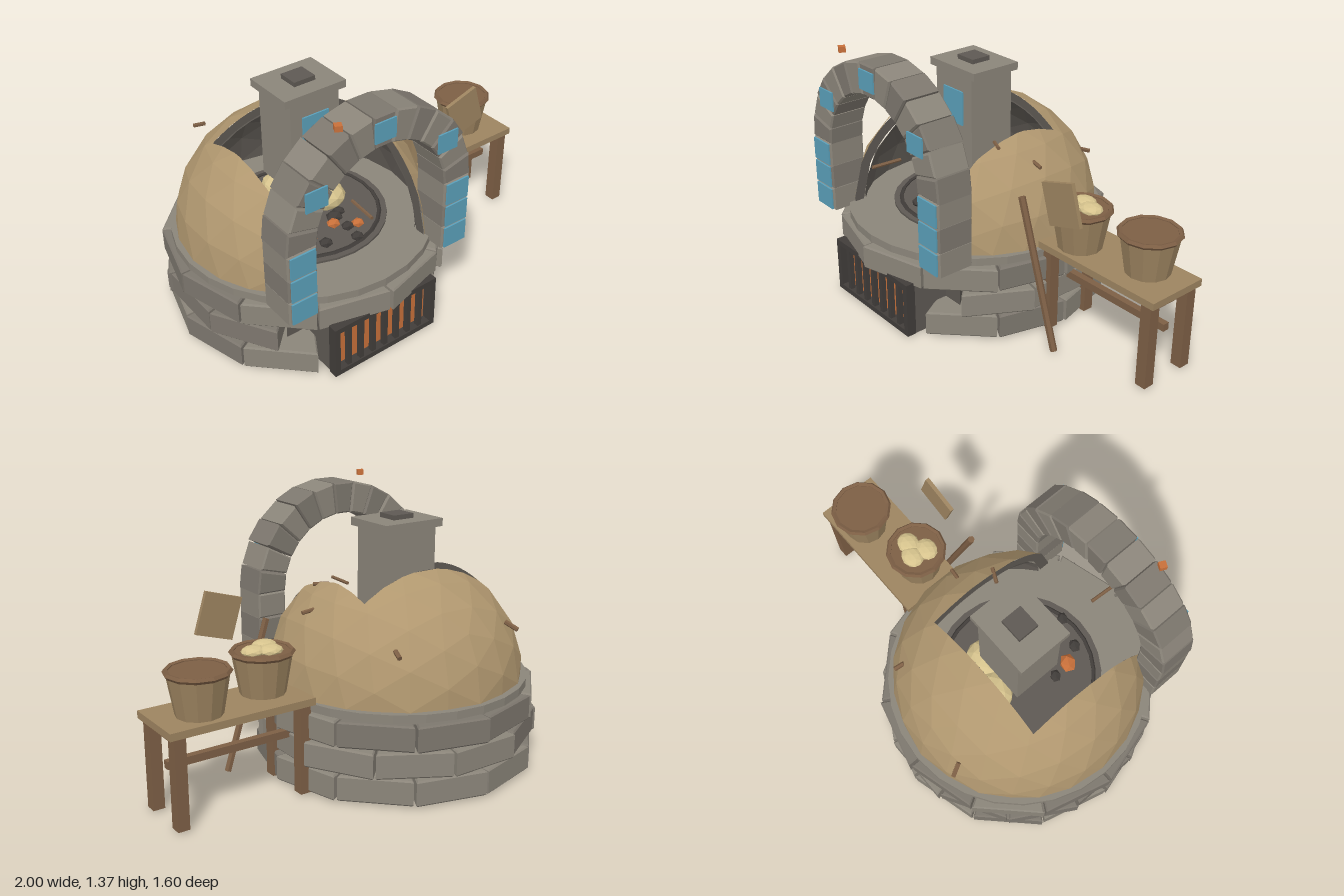
import * as THREE from 'three';

const mat = (name, color, side = THREE.FrontSide) => {
  const m = new THREE.MeshStandardMaterial({ color, side });
  m.name = name;
  return m;
};

export function createModel() {
  const root = new THREE.Group();
  const oven = new THREE.Group(); // everything built square to the oven mouth
  root.name = 'outdoorOven';
  oven.name = 'ovenAndTable';
  oven.position.set(-0.29, 0, -0.02);
  oven.rotation.y = 0.45;
  root.add(oven);

  const M = {
    stone: mat('stone', 0x8b857a, THREE.DoubleSide),
    stoneDark: mat('darker stone', 0x7d776e),
    soot: mat('soot', 0x5e5953, THREE.DoubleSide),
    iron: mat('iron', 0x413d3a),
    clay: mat('clay', 0xb0976f),
    wood: mat('wood', 0x7d5f45),
    plank: mat('pale wood', 0x9d8460),
    ember: mat('ember', 0xc8703a),
    blue: mat('blue', 0x5a9fb9),
    dough: mat('dough', 0xd6c38d),
  };

  let seed = 7;
  const rnd = () => ((seed = (seed * 16807) % 2147483647) / 2147483647);

  // Faceted mesh with a name and place
  function add(name, geo, material, x = 0, y = 0, z = 0, parent = oven) {
    const g = geo.index ? geo.toNonIndexed() : geo;
    g.computeVertexNormals();
    const m = new THREE.Mesh(g, material);
    m.name = name;
    m.position.set(x, y, z);
    parent.add(m);
    return m;
  }
  const box = (name, w, h, d, material, x, y, z, parent) =>
    add(name, new THREE.BoxGeometry(w, h, d), material, x, y, z, parent);

  // Wedge-shaped stone with bevelled edges, centred on z = 0
  function wedge(r0, r1, a0, a1, depth, b = 0.008) {
    const s = new THREE.Shape([[r0, a0], [r1, a0], [r1, a1], [r0, a1]].map(
      ([r, a]) => new THREE.Vector2(r * Math.cos(a), r * Math.sin(a))));
    return new THREE.ExtrudeGeometry(s, {
      depth: depth - 2 * b, bevelEnabled: true, bevelSegments: 1,
      bevelSize: b, bevelThickness: b, bevelOffset: -b,
    }).translate(0, 0, b - depth / 2);
  }

  // Base: three staggered courses, with a gap for the firebox
  const step = Math.PI / 6;
  for (let row = 0; row < 3; row++) {
    for (let i = 0; i < 12; i++) {
      const a = -Math.PI / 2 + (i + (row === 1 ? 0 : 0.5)) * step;
      const fromFront = Math.abs(Math.atan2(Math.cos(a), -Math.sin(a)));
      if (row < 2 && fromFront < step * 1.1) continue;
      const geo = wedge(0.5, 0.705 + rnd() * 0.02, a - step / 2 + 0.008, a + step / 2 - 0.008, 0.128)
        .rotateX(-Math.PI / 2);
      add('baseBlock', geo, rnd() > 0.4 ? M.stone : M.stoneDark, 0, 0.078 + row * 0.134, 0);
    }
  }
  add('innerDrum', new THREE.CylinderGeometry(0.51, 0.51, 0.39, 16, 1, true), M.stone, 0, 0.215, 0);
  add('baseSlab', new THREE.CylinderGeometry(0.67, 0.67, 0.045, 28), M.stone, 0, 0.428, 0);
  add('hearthFloor', new THREE.CylinderGeometry(0.43, 0.43, 0.012, 28), M.soot, 0, 0.456, 0);
  add('hearthRing', new THREE.TorusGeometry(0.39, 0.012, 5, 28).rotateX(Math.PI / 2), M.iron, 0, 0.461, 0);

  // Dome shells, with everything over the hearth cut away
  const CUT_X = 0.36, CUT_Z = -0.225, DOME_Y = 0.45;
  function clip(poly, axis, limit, sign) {
    const out = [];
    poly.forEach((p, i) => {
      const q = poly[(i + 1) % poly.length];
      const dp = (p[axis] - limit) * sign, dq = (q[axis] - limit) * sign;
      if (dp >= 0) out.push(p);
      if (dp * dq < 0) out.push(p.clone().lerp(q, dp / (dp - dq)));
    });
    return out;
  }
  function domeShell(r, h) {
    const p = new THREE.IcosahedronGeometry(1, 3).scale(r, h, r).getAttribute('position');
    const pts = [];
    for (let i = 0; i < p.count; i += 3) {
      const tri = clip([0, 1, 2].map(k => new THREE.Vector3().fromBufferAttribute(p, i + k)), 'y', 0, 1);
      const rest = clip(tri, 'z', CUT_Z, 1);
      for (const f of [clip(tri, 'z', CUT_Z, -1), clip(rest, 'x', CUT_X, 1), clip(rest, 'x', -CUT_X, -1)]) {
        for (let k = 1; k + 1 < f.length; k++) pts.push(f[0], f[k], f[k + 1]);
      }
    }
    return new THREE.BufferGeometry().setFromPoints(pts);
  }
  add('dome', domeShell(0.645, 0.6), M.clay, 0, DOME_Y, 0);
  add('domeLining', domeShell(0.59, 0.55), M.soot, 0, DOME_Y, 0);

  // Cut edges joining the two shells
  function rim(place, from, to, offset) {
    const pts = [], n = 14;
    const height = (u, r, h) => h * Math.sqrt(Math.max(0, 1 - (u * u + offset * offset) / (r * r)));
    const at = i => {
      const u = from + (to - from) * i / n;
      return [place(u, height(u, 0.59, 0.55)), place(u, height(u, 0.637, 0.592))];
    };
    for (let i = 0; i < n; i++) {
      const [a, b] = at(i), [c, d] = at(i + 1);
      pts.push(a, c, b, b, c, d);
    }
    add('domeCutEdge', new THREE.BufferGeometry().setFromPoints(pts), M.soot, 0, DOME_Y, 0);
  }
  rim((u, y) => new THREE.Vector3(u, y, CUT_Z), -CUT_X, CUT_X, CUT_Z);
  for (const s of [-1, 1]) rim((u, y) => new THREE.Vector3(s * CUT_X, y, u), CUT_Z, 0.525, CUT_X);

  // Arch: three blocks per leg and thirteen voussoirs, with blue plates
  const ARCH_Z = 0.546, SPRING = 0.81, N = 13;
  const plate = (w, h, x, y, z) => box('bluePlate', w, h, 0.009, M.blue, x, y, z);
  for (const s of [-1, 1]) {
    for (let i = 0; i < 3; i++) {
      const y = 0.494 + i * 0.128;
      const leg = new THREE.Shape([[-0.077, -0.061], [0.077, -0.061], [0.077, 0.061], [-0.077, 0.061]]
        .map(q => new THREE.Vector2(...q)));
      const geo = new THREE.ExtrudeGeometry(leg, {
        depth: 0.184, bevelSegments: 1, bevelSize: 0.008, bevelThickness: 0.008, bevelOffset: -0.006,
      }).translate(0, 0, -0.092);
      add('archLegBlock', geo, i === 1 ? M.stoneDark : M.stone, s * 0.45, y, ARCH_Z);
      plate(0.135, 0.115, s * 0.45, y, ARCH_Z + 0.104);
    }
    plate(0.115, 0.1, s * 0.37, SPRING + 0.25, ARCH_Z + 0.104);
  }
  plate(0.115, 0.1, 0, SPRING + 0.45, ARCH_Z + 0.104);
  for (let i = 0; i < N; i++) {
    const a = i * Math.PI / N;
    add('archStone', wedge(0.37, 0.525 + rnd() * 0.012, a + 0.006, a + Math.PI / N - 0.006, 0.2),
      i % 2 ? M.stone : M.stoneDark, 0, SPRING, ARCH_Z);
  }

  // Chimney
  box('chimney', 0.28, 0.5, 0.26, M.stone, 0, 0.94, 0);
  box('chimneyCap', 0.35, 0.04, 0.285, M.stone, 0, 1.205, 0);
  box('chimneyFlue', 0.12, 0.025, 0.11, M.soot, 0, 1.236, 0);
  plate(0.15, 0.18, 0, 1.01, 0.134);

  // Firebox with a barred gate
  box('firebox', 0.6, 0.29, 0.34, M.soot, 0, 0.147, 0.46);
  add('fireboxSurround', wedge(0.5, 0.6, -Math.PI / 2 - 0.76, -Math.PI / 2 + 0.76, 0.27).rotateX(-Math.PI / 2),
    M.soot, 0, 0.145, 0);
  box('emberGlow', 0.55, 0.24, 0.008, M.ember, 0, 0.155, 0.634);
  for (const y of [0.022, 0.288]) box('gateRail', 0.62, 0.028, 0.05, M.iron, 0, y, 0.66);
  for (const x of [-0.295, 0.295]) box('gatePost', 0.03, 0.28, 0.05, M.iron, x, 0.155, 0.66);
  for (let i = 0; i < 7; i++) box('gateBar', 0.024, 0.26, 0.026, M.iron, (i - 3) * 0.073, 0.155, 0.665);

  // Work table
  const table = new THREE.Group();
  table.name = 'table';
  table.position.set(1.0, 0, -0.05);
  oven.add(table);
  box('tableTop', 0.74, 0.036, 0.33, M.plank, 0, 0.468, 0, table);
  for (const s of [-1, 1]) {
    for (const t of [-1, 1]) box('tableLeg', 0.058, 0.44, 0.058, M.wood, s * 0.32, 0.23, t * 0.125, table);
    box('tableCleat', 0.05, 0.03, 0.28, M.wood, s * 0.32, 0.437, 0, table);
  }
  box('tableStretcher', 0.64, 0.038, 0.035, M.wood, 0, 0.27, 0, table);

  // Buckets
  const lump = (name, r, material, x, y, z, sy = 0.7, parent = oven) =>
    add(name, new THREE.IcosahedronGeometry(r, r > 0.05 ? 1 : 0).scale(1.15, sy, 1), material, x, y, z, parent);
  for (const [x, z] of [[0.79, -0.01], [1.16, -0.08]]) {
    add('bucket', new THREE.CylinderGeometry(0.145, 0.11, 0.2, 12), M.plank, x, 0.587, z);
    add('bucketFilling', new THREE.CylinderGeometry(0.132, 0.132, 0.008, 12), M.wood, x, 0.688, z);
    add('bucketRim', new THREE.TorusGeometry(0.143, 0.014, 5, 12).rotateX(Math.PI / 2), M.wood, x, 0.688, z);
  }
  for (const [x, z] of [[0.755, 0.03], [0.84, -0.02], [0.77, -0.05]])
    lump('doughBall', 0.055, M.dough, x, 0.7, z, 0.5);

  // Loaves, embers and coals on the hearth
  for (const [x, z, r] of [[-0.37, -0.17, 0.1], [-0.2, -0.17, 0.1], [-0.18, -0.03, 0.1]])
    lump('loaf', r, M.dough, x, 0.53, z, 0.72, root);
  for (const [x, z, r] of [[-0.31, 0.24, 0.045], [-0.165, 0.155, 0.032], [-0.045, 0.175, 0.03], [-0.25, 0.1, 0.028]])
    lump('ember', r, M.ember, x, 0.485, z, 0.8, root);
  for (const [x, z, r] of [[-0.23, 0.3, 0.032], [-0.07, 0.28, 0.03], [-0.15, 0.1, 0.04], [-0.12, 0.06, 0.03],
    [-0.1, 0.19, 0.03], [-0.36, 0.16, 0.03]])
    lump('coal', r, M.iron, x, 0.485, z, 0.8, root);

  // Round rods between two points
  function rod(name, a, b, r) {
    const p = new THREE.Vector3(...a), d = new THREE.Vector3(...b).sub(p);
    const m = add(name, new THREE.CylinderGeometry(r, r, d.length(), 6), M.wood, 0, 0, 0, root);
    m.position.copy(p).addScaledVector(d, 0.5);
    m.quaternion.setFromUnitVectors(new THREE.Vector3(0, 1, 0), d.normalize());
  }
  rod('peelHandle', [0.37, 0.76, -0.09], [0.585, 0.015, -0.2], 0.018);
  const blade = box('peelBlade', 0.2, 0.21, 0.02, M.plank, 0.605, 0.82, -0.208, root);
  blade.rotation.set(0, 0.45, 0.3);
  rod('twig', [-0.78, 0.76, -0.47], [-0.73, 0.79, -0.43], 0.012);
  rod('twig', [-0.18, 0.7, -0.62], [-0.17, 0.72, -0.57], 0.012);
  rod('twig', [0.15, 0.83, -0.21], [0.21, 0.82, -0.23], 0.01);
  rod('twig', [0.05, 0.91, -0.04], [0.13, 0.91, -0.04], 0.01);
  rod('twig', [-0.12, 0.79, 0.4], [-0.06, 0.79, 0.55], 0.009);
  box('spark', 0.034, 0.028, 0.034, M.ember, -0.23, 1.353, 0.645, root);

  return root;
}
